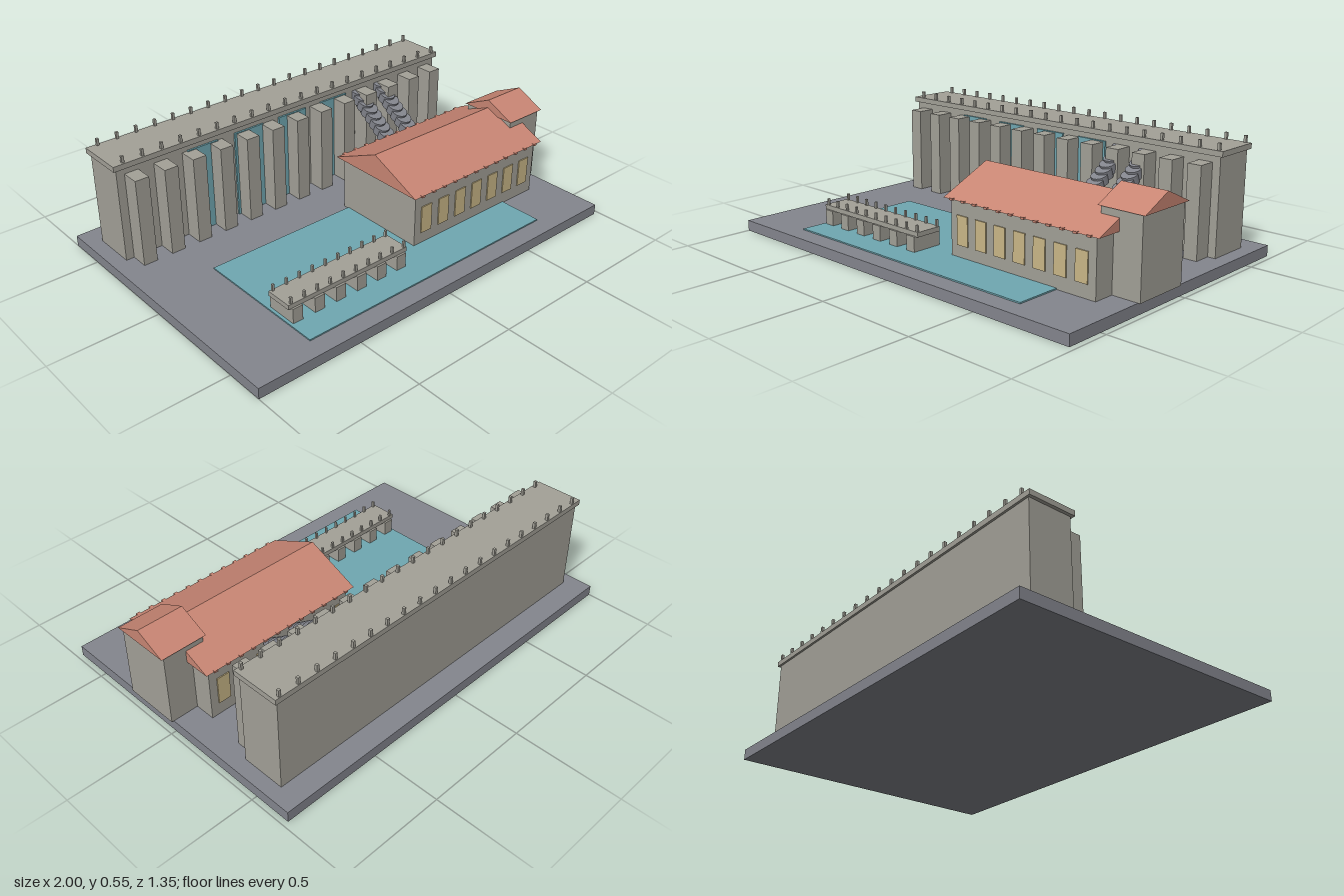
import * as THREE from 'three';

const material = (name, color) => {
  const m = new THREE.MeshStandardMaterial({ color });
  m.name = name;
  return m;
};

export function createModel() {
  const concrete = material('concrete', 0xa3a198);
  const slate = material('slate', 0x84868e);
  const water = material('water', 0x70a8b2);
  const tile = material('roofTile', 0xc98674);
  const glass = material('windowGlow', 0xcbb888);
  const model = new THREE.Group();
  model.name = 'dam';

  // Box given by its lower and upper limits on each axis
  function box(name, mat, [x0, x1], [y0, y1], [z0, z1], parent = model) {
    const mesh = new THREE.Mesh(new THREE.BoxGeometry(x1 - x0, y1 - y0, z1 - z0), mat);
    mesh.position.set((x0 + x1) / 2, (y0 + y1) / 2, (z0 + z1) / 2);
    mesh.name = name;
    parent.add(mesh);
  }

  // Solid gable roof with its ridge along x
  function gableRoof(name, [x0, x1], [y0, y1], [z0, z1]) {
    const shape = new THREE.Shape();
    shape.moveTo(-z1, y0);
    shape.lineTo(-z0, y0);
    shape.lineTo(-(z0 + z1) / 2, y1);
    shape.closePath();
    const geo = new THREE.ExtrudeGeometry(shape, { depth: x1 - x0, bevelEnabled: false });
    geo.rotateY(Math.PI / 2).translate(x0, 0, 0);
    const mesh = new THREE.Mesh(geo, tile);
    mesh.name = name;
    model.add(mesh);
  }

  function group(name) {
    const g = new THREE.Group();
    g.name = name;
    model.add(g);
    return g;
  }

  // Two rows of railing posts
  function railing(name, count, xStart, step, half, y, zRows) {
    const g = group(name);
    for (const z of zRows)
      for (let i = 0; i < count; i++) {
        const x = xStart + i * step;
        box('post', concrete, [x - half, x + half], y, [z - half, z + half], g);
      }
  }

  // Ground and pool
  box('ground', slate, [-1, 0.975], [0, 0.05], [-0.677, 0.677]);
  box('pool', water, [-0.685, 0.66], [0.05, 0.056], [-0.06, 0.587]);

  // Dam wall with its roadway
  box('damWall', concrete, [-0.932, 0.907], [0.05, 0.492], [-0.567, -0.36]);
  box('roadway', concrete, [-0.947, 0.922], [0.492, 0.517], [-0.577, -0.349]);
  railing('roadRailing', 20, -0.895, 0.0943, 0.006, [0.517, 0.548], [-0.568, -0.363]);

  // Buttresses
  const buttresses = group('buttresses');
  for (let i = 0; i < 13; i++) {
    const x = -0.861 + i * 0.1415;
    box('buttress', concrete, [x - 0.033, x + 0.033], [0.05, 0.463], [-0.36, -0.275], buttresses);
  }

  // Falling water on the wall
  const spillways = group('spillways');
  for (let i = 0; i < 4; i++) {
    const x = -0.508 + i * 0.248;
    box('spillwayWater', water, [x - 0.079, x + 0.079], [0.05, 0.467], [-0.36, -0.351], spillways);
  }

  // Stepped penstocks descending to the powerhouse
  const segment = new THREE.CylinderGeometry(0.038, 0.038, 0.042, 16);
  for (const x of [0.397, 0.538]) {
    const penstock = group('penstock');
    for (let i = 0; i < 9; i++) {
      const mesh = new THREE.Mesh(segment, slate);
      mesh.name = 'pipeSegment';
      mesh.position.set(x, 0.27 + i * 0.0215, -0.127 - i * 0.0295);
      mesh.rotation.x = 0.35;
      penstock.add(mesh);
    }
  }

  // Powerhouse and corner tower
  box('powerhouse', concrete, [0.077, 0.852], [0.05, 0.311], [-0.09, 0.377]);
  gableRoof('powerhouseRoof', [0.053, 0.878], [0.309, 0.424], [-0.115, 0.399]);
  box('tower', concrete, [0.79, 0.985], [0.05, 0.398], [0.009, 0.278]);
  gableRoof('towerRoof', [0.78, 1], [0.396, 0.464], [0, 0.288]);

  // Windows on both long walls
  const windows = group('windows');
  for (let i = 0; i < 7; i++) {
    const x = 0.145 + i * 0.1063;
    for (const z of [0.379, -0.092])
      box('window', glass, [x - 0.031, x + 0.031], [0.11, 0.241], [z - 0.003, z + 0.003], windows);
  }

  // Rafter tails under the eaves
  const rafters = group('rafters');
  for (let i = 0; i < 12; i++) {
    const x = 0.1 + i * 0.0665;
    for (const z of [0.393, -0.109])
      box('rafter', tile, [x - 0.009, x + 0.009], [0.305, 0.314], [z - 0.01, z + 0.01], rafters);
  }

  // Low bridge over the pool
  box('bridgeDeck', concrete, [-0.685, -0.048], [0.123, 0.145], [0.329, 0.457]);
  const piers = group('bridgePiers');
  for (let i = 0; i < 6; i++) {
    const x = -0.646 + i * 0.112;
    box('bridgePier', concrete, [x - 0.025, x + 0.025], [0.05, 0.125], [0.319, 0.467], piers);
  }
  railing('bridgeRailing', 10, -0.668, 0.0677, 0.005, [0.145, 0.175], [0.336, 0.45]);

  return model;
}
